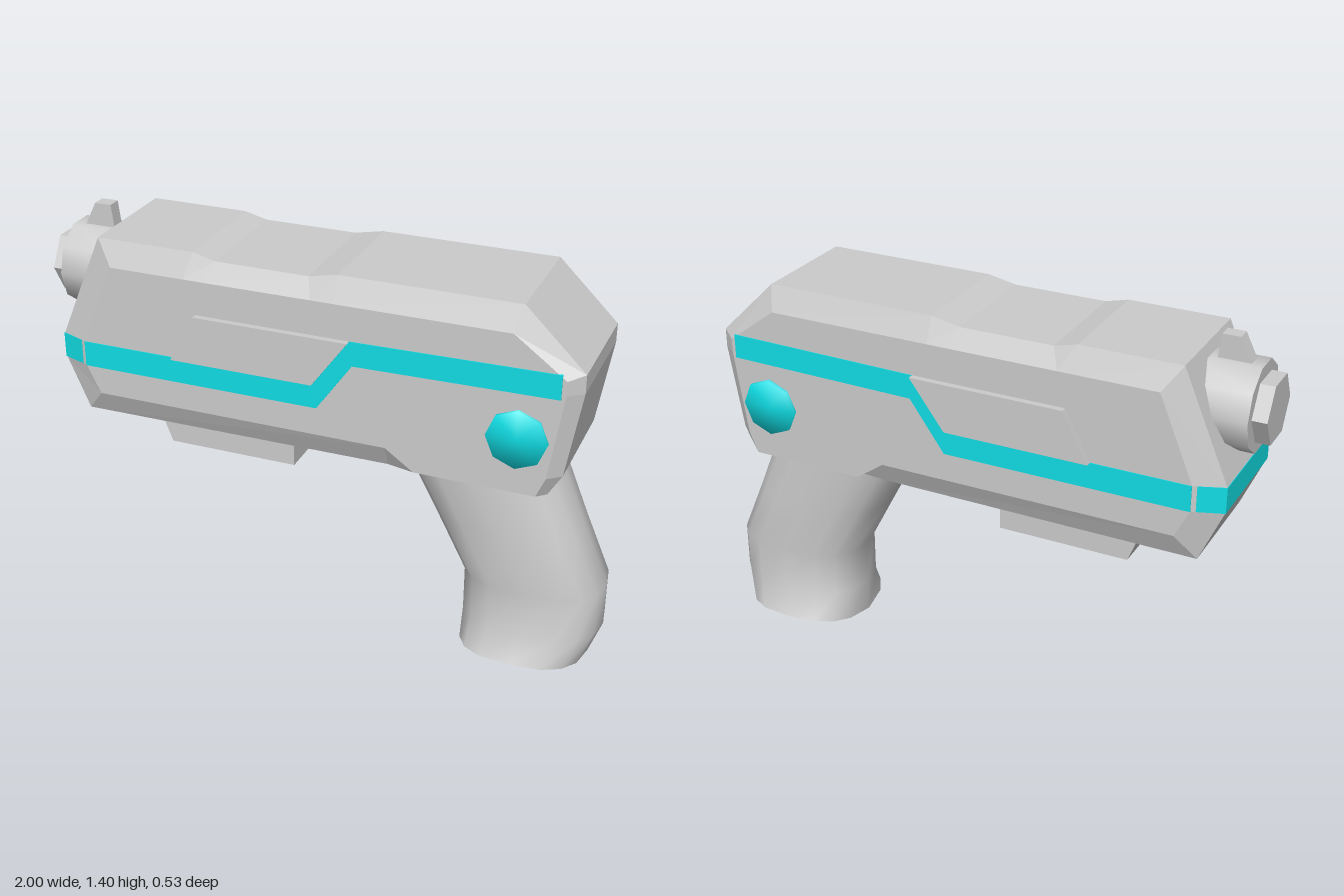
import * as THREE from 'three';
import { mergeVertices, toCreasedNormals } from 'three/addons/utils/BufferGeometryUtils.js';

const GREY = 0xcccccc, CYAN = 0x10dde4;

function addMesh(parent, name, geometry, { color = GREY, flat = false, double = false } = {}) {
  const material = new THREE.MeshStandardMaterial({ color, flatShading: flat });
  if (double) material.side = THREE.DoubleSide;
  const mesh = new THREE.Mesh(geometry, material);
  mesh.name = name;
  parent.add(mesh);
  return mesh;
}

// Skin between closed rings with equal point counts; capContour closes both ends
function loft(rings, capContour) {
  const n = rings[0].length, index = [];
  for (let j = 0; j < rings.length - 1; j++) {
    for (let i = 0; i < n; i++) {
      const a = j * n + i, b = j * n + (i + 1) % n;
      index.push(a, b, b + n, a, b + n, a + n);
    }
  }
  if (capContour) {
    const end = (rings.length - 1) * n;
    const faces = THREE.ShapeUtils.triangulateShape(capContour, []);
    for (const [a, b, c] of faces) index.push(a, c, b, end + a, end + b, end + c);
  }
  const geometry = new THREE.BufferGeometry().setFromPoints(rings.flat());
  geometry.setIndex(index);
  geometry.computeVertexNormals();
  return geometry;
}

// Flat outline in x/y, extruded between two depths
function slab(points, z0, z1) {
  const shape = new THREE.Shape(points.map(([x, y]) => new THREE.Vector2(x, y)));
  return new THREE.ExtrudeGeometry(shape, { depth: z1 - z0, bevelEnabled: false }).translate(0, 0, z0);
}

// Chamfered casing: [edge x, edge y, side face x, side face y]
function bodyGeometry() {
  const profile = [
    [-0.84, 0.705, -0.77, 0.79], [0.28, 0.71, 0.28, 0.79], [0.38, 0.715, 0.38, 0.72],
    [0.82, 0.715, 0.79, 0.72], [0.865, 0.79, 0.82, 0.79], [0.915, 1.09, 0.865, 1.09],
    [0.915, 1.155, 0.865, 1.14], [0.71, 1.355, 0.69, 1.27], [0.1, 1.355, 0.1, 1.27],
    [0, 1.335, 0.02, 1.27], [-0.33, 1.335, -0.36, 1.27], [-0.41, 1.355, -0.43, 1.27],
    [-0.76, 1.355, -0.7, 1.27], [-0.92, 0.98, -0.82, 0.98], [-0.92, 0.89, -0.82, 0.89],
  ];
  const edge = z => profile.map(p => new THREE.Vector3(p[0], p[1], z));
  const side = z => profile.map(p => new THREE.Vector3(p[2], p[3], z));
  const contour = profile.map(p => new THREE.Vector2(p[2], p[3]));
  return loft([side(-0.243), edge(-0.205), edge(0.205), side(0.243)], contour);
}

// Raked handle with a flared foot and a shallow keel underneath
function gripGeometry() {
  // [y, front x, back x, half width, keel rise]
  const sections = [
    [0.74, 0.27, 0.81, 0.175, 0], [0.71, 0.285, 0.825, 0.175, 0], [0.5, 0.4, 0.91, 0.175, 0],
    [0.29, 0.51, 1, 0.175, 0], [0.13, 0.51, 1, 0.175, 0],
    [0.005, 0.51, 0.955, 0.225, 0.03], [0.004, 0.51, 0.955, 0, 0],
  ];
  const sides = 16;
  const round = v => Math.sign(v) * Math.abs(v) ** 0.75;
  const rings = sections.map(([y, front, back, width, rise]) =>
    Array.from({ length: sides }, (_, i) => {
      const a = i / sides * Math.PI * 2, s = round(Math.sin(a));
      const x = (front + back) / 2 + round(Math.cos(a)) * (back - front) / 2;
      return new THREE.Vector3(x, y + rise * Math.abs(s), s * width);
    }));
  return toCreasedNormals(loft(rings), 0.8);
}

// Cylinder lying along x
function barrel(radius, x0, x1, sides) {
  const g = new THREE.CylinderGeometry(radius, radius, x1 - x0, sides);
  return g.rotateZ(Math.PI / 2).translate((x0 + x1) / 2, 1.175, 0);
}

export function createModel() {
  const model = new THREE.Group();
  model.name = 'blaster';

  addMesh(model, 'body', bodyGeometry(), { flat: true });
  addMesh(model, 'grip', gripGeometry(), { double: true });

  // Barrel, sight and lower rail
  addMesh(model, 'barrel', toCreasedNormals(barrel(0.152, -0.95, -0.7, 10), 0.8));
  addMesh(model, 'muzzle', barrel(0.115, -1, -0.94, 6), { flat: true });
  addMesh(model, 'frontSight',
    slab([[-0.92, 1.3], [-0.795, 1.28], [-0.81, 1.4], [-0.87, 1.4]], -0.025, 0.025), { flat: true });
  addMesh(model, 'lowerRail',
    slab([[-0.57, 0.575], [-0.1, 0.575], [-0.1, 0.73], [-0.63, 0.73]], -0.11, 0.11), { flat: true });

  // Cyan stripe wrapping around the nose
  const nose = slab([[-0.81, -0.246], [-0.81, 0.246], [-0.922, 0.207], [-0.922, -0.207]], 0.89, 0.98);
  nose.rotateX(-Math.PI / 2);
  addMesh(model, 'noseStripe', nose, { color: CYAN, flat: true });

  // Side details, mirrored front to back
  const stripe = [[-0.82, 0.89], [0.04, 0.89], [0.165, 1.065], [0.85, 1.075],
    [0.85, 1.16], [0.155, 1.15], [0.03, 0.98], [-0.82, 0.98]];
  const panel = [[-0.48, 0.98], [0.03, 0.98], [0.155, 1.15], [-0.39, 1.15]];
  for (const s of [1, -1]) {
    const label = s > 0 ? 'Left' : 'Right';
    const span = (points, a, b) => slab(points, Math.min(s * a, s * b), Math.max(s * a, s * b));
    addMesh(model, 'sideStripe' + label, span(stripe, 0.2, 0.246), { color: CYAN, flat: true });
    addMesh(model, 'sidePanel' + label, span(panel, 0.2, 0.265), { flat: true });

    // Softly shaded octagonal button
    let button = new THREE.CylinderGeometry(0.102, 0.102, 0.055, 8);
    button.deleteAttribute('normal');
    button.deleteAttribute('uv');
    button = mergeVertices(button);
    button.computeVertexNormals();
    button.rotateX(Math.PI / 2).translate(0.72, 0.915, s * 0.2285);
    addMesh(model, 'button' + label, button, { color: CYAN });
  }
  return model;
}
